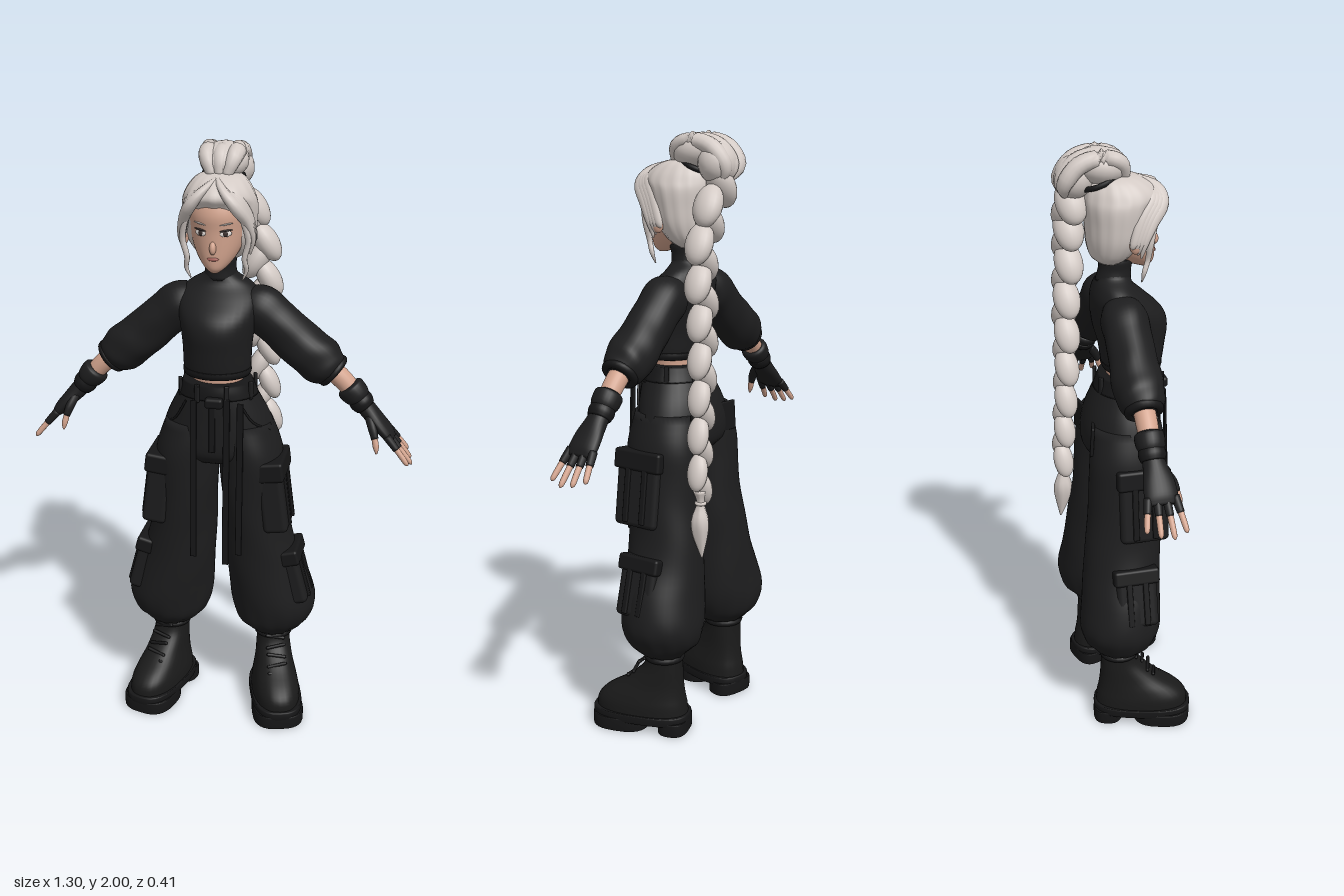
import * as THREE from 'three';
import { mergeVertices } from 'three/addons/utils/BufferGeometryUtils.js';
import { RoundedBoxGeometry } from 'three/addons/geometries/RoundedBoxGeometry.js';

const material = (name, color) => Object.assign(new THREE.MeshStandardMaterial({ color }), { name });
const V = (x, y, z) => new THREE.Vector3(x, y, z);

// Skin over rows of [x, y, z, depth radius, width radius]; flat keeps every ring horizontal
function sweep(rows, { flat = false, seg = 24, steps = 4, pow = 1, fold = () => 1 } = {}) {
  const path = new THREE.CatmullRomCurve3(rows.map(r => V(r[0], r[1], r[2])), false, 'catmullrom');
  const radii = new THREE.CatmullRomCurve3(rows.map(r => V(r[3], r[4], 0)), false, 'catmullrom');
  const n = (rows.length - 1) * steps, pos = [], idx = [];
  const bend = c => Math.sign(c) * Math.abs(c) ** pow;
  const up = Math.sign(rows[rows.length - 1][1] - rows[0][1]);
  for (let i = 0; i <= n; i++) {
    const c = path.getPoint(i / n), r = radii.getPoint(i / n);
    const t = flat ? V(0, up, 0) : path.getTangent(i / n);
    const u = V(0, 0, 1).addScaledVector(t, -t.z).normalize(), v = t.clone().cross(u);
    for (let j = 0; j < seg; j++) {
      const a = j / seg * Math.PI * 2, f = fold(i / n, a);
      const p = c.clone().addScaledVector(u, bend(Math.cos(a)) * Math.max(r.x, 0.001) * f)
        .addScaledVector(v, bend(Math.sin(a)) * Math.max(r.y, 0.001) * f);
      pos.push(p.x, p.y, p.z);
      const k = i * seg, m = (j + 1) % seg;
      if (i < n) idx.push(k + j, k + m, k + seg + j, k + m, k + seg + m, k + seg + j);
    }
  }
  const s = (n + 1) * seg;
  pos.push(...path.getPoint(0).toArray(), ...path.getPoint(1).toArray());
  for (let j = 0; j < seg; j++) {
    const m = (j + 1) % seg;
    idx.push(s, m, j, s + 1, n * seg + j, n * seg + m);
  }
  const g = new THREE.BufferGeometry();
  g.setAttribute('position', new THREE.Float32BufferAttribute(pos, 3));
  g.setIndex(idx);
  g.computeVertexNormals();
  return g;
}

function add(parent, name, geometry, mat, p = [0, 0, 0], r = [0, 0, 0]) {
  const m = new THREE.Mesh(geometry, mat);
  m.name = name;
  m.position.set(...p);
  m.rotation.set(...r);
  parent.add(m);
  return m;
}
const ball = (x, y, z) => new THREE.SphereGeometry(1, 20, 14).scale(x, y, z);
const box = (x, y, z, r = 0.01) => new RoundedBoxGeometry(x, y, z, 2, Math.min(r, x / 3, y / 3, z / 3));

// Reflected copy of a group across x = 0
function mirrored(group, name) {
  const out = new THREE.Group();
  out.name = name;
  group.updateMatrixWorld(true);
  group.traverse(o => {
    if (!o.isMesh) return;
    let g = o.geometry.clone();
    if (!g.index) g = mergeVertices(g);
    g.applyMatrix4(o.matrixWorld).scale(-1, 1, 1);
    const a = g.index.array;
    for (let i = 0; i < a.length; i += 3) [a[i], a[i + 1]] = [a[i + 1], a[i]];
    add(out, o.name, g, o.material);
  });
  return out;
}

export function createModel() {
  const skin = material('skin', 0xd3a48e), hair = material('silver hair', 0xd3cac5);
  const cloth = material('black cloth', 0x1d1d1e), trim = material('black trim', 0x161617);
  const boot = material('boot leather', 0x1a1a1a), white = material('eye white', 0xe6e0dc);
  const iris = material('iris and lash', 0x3a302e), lip = material('lips', 0xb06a62);
  const model = new THREE.Group(), side = new THREE.Group();
  side.name = 'leftSide';

  // Head and neck
  add(model, 'head', sweep([[0, 1.614, .085, .015, .012], [0, 1.63, .07, .045, .034], [0, 1.66, .045, .074, .06],
    [0, 1.7, .025, .095, .08], [0, 1.75, .02, .101, .09], [0, 1.8, .02, .104, .095],
    [0, 1.85, .012, .09, .086], [0, 1.89, .01, .04, .04]], { flat: true, seg: 32 }), skin);
  add(model, 'neck', sweep([[0, 1.58, -.012, .045, .042], [0, 1.7, .005, .045, .042]], { flat: true }), skin);
  add(model, 'nose', ball(.011, .022, .016), skin, [0, 1.7, .117], [-.3, 0, 0]);
  add(model, 'mouth', ball(.019, .006, .006), lip, [0, 1.664, .117]);
  add(side, 'eyeWhite', ball(.019, .01, .004), white, [.04, 1.745, .111], [0, .38, .08]);
  add(side, 'iris', ball(.009, .01, .004), iris, [.039, 1.745, .113], [0, .36, 0]);
  add(side, 'lash', ball(.022, .003, .004), iris, [.041, 1.755, .112], [0, .4, .12]);
  add(side, 'brow', ball(.022, .0025, .004), hair, [.042, 1.775, .114], [0, .4, .15]);
  add(side, 'ear', ball(.012, .03, .019), skin, [.109, 1.715, .03], [0, .3, 0]);

  // Hair: scalp, parted fringe, face locks, bun
  const strands = (n, d) => (t, a) => 1 + d * Math.sin(n * a + 3 * t);
  add(model, 'scalpHair', sweep([[0, 1.635, -.03, .035, .05], [0, 1.66, -.025, .065, .085], [0, 1.71, -.012, .09, .11],
    [0, 1.77, -.005, .1, .118], [0, 1.82, .002, .112, .12], [0, 1.85, .012, .12, .112], [0, 1.88, .008, .105, .095],
    [0, 1.905, -.003, .07, .068], [0, 1.918, -.01, .015, .015]], { flat: true, seg: 64, fold: strands(16, .012) }), hair);
  for (let i = 0; i < 4; i++) {
    const o = i * .011;
    add(side, 'fringe', sweep([[.004, 1.9 - o * .3, .06 - o], [.035, 1.872 - o * .2, .112 - o], [.07, 1.832 + o * .4, .12 - o],
      [.099, 1.78 + o * .3, .085 - o], [.113, 1.72, .058 - o], [.106, 1.67 + o, .05 - o]].map((p, k) =>
      [...p, [.01, .022, .026, .022, .014, .003][k], [.008, .014, .02, .017, .012, .003][k]]), { seg: 12 }), hair);
  }
  add(side, 'faceLock', sweep([[.09, 1.79, .098, .012, .01], [.105, 1.72, .08, .012, .01], [.092, 1.66, .075, .009, .009],
    [.097, 1.62, .062, .008, .007], [.083, 1.585, .058, .002, .002]], { seg: 10 }), hair);
  add(model, 'bun', ball(.078, .058, .085), hair, [.003, 1.94, -.055], [.15, 0, 0]);
  add(model, 'bunBack', ball(.07, .068, .062), hair, [.015, 1.905, -.135], [.3, 0, 0]);
  for (const x of [-.042, 0, .042])
    add(model, 'bunStrand', sweep([[x * .5, 1.9, .015, .02, .016], [x, 1.955, -.0, .025, .026], [x * 1.1, 1.973, -.06, .026, .03],
      [x * 1.1, 1.955, -.13, .028, .03], [x, 1.9, -.175, .025, .026], [x * .5 + .02, 1.85, -.165, .01, .01]], { seg: 14 }), hair);
  add(model, 'bunTie', new THREE.TorusGeometry(.062, .009, 8, 28), trim, [0, 1.895, -.06], [Math.PI / 2 - .35, 0, 0]);

  // Braid of alternating lobes with a tied tail
  const braid = new THREE.CatmullRomCurve3([V(.03, 1.85, -.145), V(.09, 1.75, -.142), V(.115, 1.63, -.138), V(.118, 1.5, -.146),
    V(.118, 1.36, -.147), V(.125, 1.2, -.15), V(.14, 1.04, -.155), V(.15, .92, -.16), V(.15, .83, -.163)]);
  const lobes = 17;
  for (let i = 0; i < lobes; i++) {
    const t = i / lobes, p = braid.getPointAt(t), s = i % 2 ? 1 : -1, r = .05 - .017 * t;
    add(model, 'braidLobe', ball(r * .82, r * 1.5 + .012 * t, r * 1.02), hair,
      [p.x + s * r * .42, p.y - .02, p.z], [s * .12, 0, s * (.6 - .3 * t)]);
  }
  add(model, 'braidTie', new THREE.TorusGeometry(.014, .006, 8, 18), hair, [.15, .825, -.163], [Math.PI / 2, 0, 0]);
  add(model, 'braidTail', sweep([[.15, .87, -.162, .024, .024], [.15, .825, -.163, .013, .013], [.152, .77, -.162, .03, .028],
    [.153, .72, -.163, .028, .024], [.155, .64, -.172, .003, .003]], { seg: 18, fold: strands(6, .06) }), hair);

  // Cropped sweater, collar and bare waist
  add(model, 'sweater', sweep([[0, 1.272, .045, .093, .106], [0, 1.3, .045, .101, .111], [0, 1.36, .045, .11, .113],
    [0, 1.42, .04, .122, .12], [0, 1.47, .028, .117, .13], [0, 1.52, .002, .09, .135], [0, 1.558, -.014, .064, .105],
    [0, 1.585, -.014, .054, .06], [0, 1.6, -.012, .052, .05]], { flat: true, seg: 36 }), cloth);
  add(model, 'sweaterHem', sweep([[0, 1.27, .045, .094, .108], [0, 1.282, .045, .1, .113], [0, 1.295, .045, .1, .111]],
    { flat: true, seg: 36 }), trim);
  add(model, 'collar', sweep([[0, 1.575, -.015, .058, .056], [0, 1.61, -.01, .053, .05], [0, 1.635, -.006, .055, .052],
    [0, 1.646, -.004, .052, .05]], { flat: true }), cloth);
  add(model, 'waist', sweep([[0, 1.2, .037, .08, .09], [0, 1.25, .037, .075, .085], [0, 1.31, .04, .08, .092]], { flat: true }), skin);

  // Trousers: hips, waistband, hanging straps
  add(model, 'hips', sweep([[0, .965, .008, .1, .15], [0, 1, .008, .128, .195], [0, 1.06, .008, .132, .192], [0, 1.12, .014, .126, .172],
    [0, 1.18, .025, .115, .142], [0, 1.245, .037, .098, .11]], { flat: true, seg: 36 }), cloth);
  add(model, 'waistband', sweep([[0, 1.2, .032, .114, .134], [0, 1.225, .036, .109, .124], [0, 1.25, .038, .102, .115]],
    { flat: true, seg: 36 }), trim);
  for (let i = 0; i < 8; i++) {
    const a = (i + .5) / 8 * Math.PI * 2;
    add(model, 'beltLoop', box(.016, .062, .012, .003), cloth, [Math.sin(a) * .127, 1.224, .036 + Math.cos(a) * .112], [0, a, 0]);
  }
  add(model, 'buckle', box(.06, .035, .03), trim, [.01, 1.2, .155]);
  for (const [x, y, h] of [[-.06, .92, .56], [.05, .915, .59], [.095, .93, .54]])
    add(model, 'strap', box(.022, h, .008, .002), trim, [x, y, .154], [-.035, 0, 0]);
  add(model, 'fly', box(.02, .16, .008, .002), trim, [0, 1.1, .139], [-.03, 0, 0]);

  // Trouser leg with gathered hem
  const gather = (t, a) => 1 + Math.max(0, .35 - t) * .1 * Math.sin(13 * a + 9 * t) + .012 * Math.sin(3 * a + 22 * t);
  add(side, 'trouserLeg', sweep([[.186, .28, -.04, .072, .072], [.186, .3, -.04, .092, .098], [.186, .335, -.04, .122, .127],
    [.188, .4, -.04, .137, .15], [.17, .5, -.031, .134, .143], [.147, .6, -.022, .131, .126], [.131, .7, -.015, .129, .115],
    [.122, .8, -.004, .127, .111], [.115, .9, .004, .129, .11], [.108, 1, .008, .129, .106], [.09, 1.1, .01, .115, .088]],
    { flat: true, seg: 48, fold: gather }), cloth);

  // Cargo pockets with flaps and strips
  const pocket = (name, p, [x, y, z], tilt) => {
    const g = new THREE.Group();
    g.name = name;
    g.position.set(...p);
    g.rotation.z = tilt;
    add(g, 'pocketBag', box(x, y, z, .018), cloth);
    add(g, 'pocketFlap', box(x + .018, y * .27, z + .016, .01), trim, [0, y * .4, 0]);
    for (const s of [-1, 1]) add(g, 'pocketStrip', box(.012, y * .8, .02, .004), trim, [x / 2 + .002, -.01, s * z * .2]);
    side.add(g);
  };
  pocket('upperPocket', [.197, .85, .035], [.085, .25, .165], .13);
  pocket('lowerPocket', [.262, .53, -.002], [.075, .2, .14], .26);
  add(side, 'hipPocketSeam', sweep([[.09, 1.19, .125, .004, .004], [.13, 1.12, .1, .004, .004], [.178, 1.08, .05, .004, .004]], { seg: 8 }), trim);
  add(side, 'backPocket', box(.09, .1, .012), trim, [.085, 1.06, -.107], [.06, .22, 0]);

  // Puffed sleeve and gathered cuff
  const crease = (t, a) => 1 + .03 * t * Math.sin(26 * t + 2 * a) + .015 * Math.sin(5 * a + 9 * t);
  add(side, 'sleeve', sweep([[.07, 1.505, -.01, .055, .045], [.125, 1.482, -.01, .076, .076], [.18, 1.44, -.01, .074, .075],
    [.24, 1.385, -.01, .076, .076], [.295, 1.34, -.01, .08, .078], [.34, 1.305, -.01, .076, .076], [.37, 1.283, -.01, .06, .06],
    [.382, 1.273, -.01, .038, .038]], { seg: 32, steps: 6, fold: crease }), cloth);
  add(side, 'sleeveCuff', new THREE.TorusGeometry(.048, .014, 10, 28), trim, [.374, 1.28, -.01], [0, Math.PI / 2, -.68, 'ZYX']);
  add(side, 'forearm', sweep([[.35, 1.3, -.01, .034, .034], [.41, 1.248, -.01, .034, .033], [.47, 1.18, -.01, .028, .027]]), skin);

  // Fingerless glove and fingers
  add(side, 'glove', sweep([[.425, 1.232, -.01, .035, .034], [.432, 1.224, -.01, .046, .046], [.455, 1.2, -.01, .045, .043],
    [.472, 1.178, -.01, .034, .03], [.497, 1.15, -.008, .038, .029], [.53, 1.115, -.005, .049, .025], [.56, 1.082, -.005, .052, .022],
    [.578, 1.062, -.005, .045, .012]], { seg: 24 }), cloth);
  add(side, 'wristBand', sweep([[.46, 1.192, -.01, .04, .038], [.472, 1.178, -.01, .043, .04], [.484, 1.163, -.01, .038, .034]]), trim);
  for (let i = 0; i < 4; i++) {
    const z = -.047 + i * .028, k = (i - 1.5) * .012, l = [.82, .98, 1.05, .92][i];
    const at = t => [.562 + .075 * t * l, 1.08 - .082 * t * l - .006 * t * t, z + k * t];
    add(side, 'gloveFinger', sweep([[...at(0), .014, .014], [...at(.3), .013, .013], [...at(.5), .012, .012]], { seg: 12 }), cloth);
    add(side, 'fingerTip', sweep([[...at(.4), .01, .01], [...at(.8), .0095, .0095], [...at(1), .008, .008], [...at(1.08), .002, .002]], { seg: 12 }), skin);
  }
  add(side, 'gloveThumb', sweep([[.5, 1.14, .015, .016, .016], [.515, 1.105, .04, .016, .015], [.525, 1.075, .053, .012, .012]], { seg: 12 }), cloth);
  add(side, 'thumbTip', sweep([[.522, 1.085, .05, .01, .01], [.53, 1.05, .06, .01, .01], [.533, 1.028, .065, .003, .003]], { seg: 12 }), skin);

  // Platform boot, turned outward
  const foot = new THREE.Group();
  foot.name = 'boot';
  foot.position.x = .2;
  foot.rotation.y = .28;
  add(foot, 'bootUpper', sweep([[0, .05, .035, .163, .084], [0, .095, .035, .158, .082], [0, .13, .022, .138, .075], [0, .17, -.008, .103, .066],
    [0, .22, -.036, .072, .06], [0, .26, -.045, .062, .057], [0, .3, -.045, .06, .057]], { flat: true, seg: 32, pow: .85 }), boot);
  const slab = (name, y0, y1, z, rz, rx) => add(foot, name,
    sweep([[0, y0, z, rz * .97, rx * .97], [0, y0 + .004, z, rz, rx], [0, y1 - .004, z, rz, rx], [0, y1, z, rz * .97, rx * .97]],
      { flat: true, seg: 32, steps: 2, pow: .72 }), trim);
  slab('midsole', .035, .065, .037, .171, .09);
  slab('frontSole', 0, .045, .107, .1, .09);
  slab('heel', 0, .045, -.082, .052, .078);
  for (let i = 0; i < 5; i++)
    add(foot, 'lace', new THREE.CapsuleGeometry(.006, .06, 4, 8), trim, [0, .155 + i * .027, .098 - i * .02], [0, 0, Math.PI / 2 + (i % 2 ? .2 : -.2)]);
  add(foot, 'bootCollar', new THREE.TorusGeometry(.058, .012, 8, 24), trim, [0, .268, -.045], [Math.PI / 2, 0, 0]);
  side.add(foot);

  model.add(side, mirrored(side, 'rightSide'));
  return model;
}
